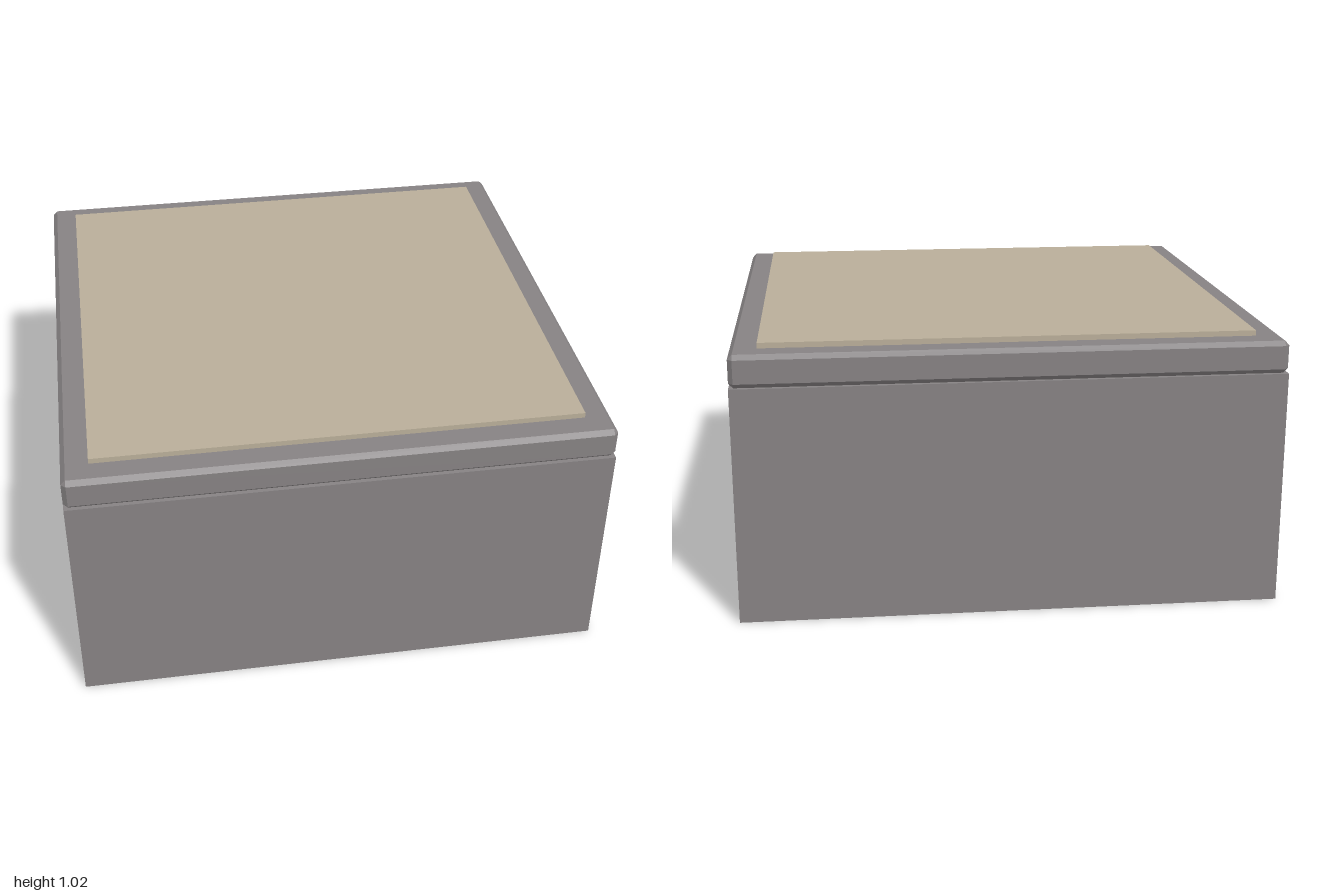
import * as THREE from 'three';
import { ConvexGeometry } from 'three/addons/geometries/ConvexGeometry.js';

// Box with every edge and corner cut by a flat chamfer
function chamferedBox(w, h, d, c) {
  const half = [w / 2, h / 2, d / 2];
  const points = [];
  for (const sx of [-1, 1]) for (const sy of [-1, 1]) for (const sz of [-1, 1]) {
    for (let outer = 0; outer < 3; outer++) {
      const [x, y, z] = half.map((v, axis) => (axis === outer ? v : v - c));
      points.push(new THREE.Vector3(sx * x, sy * y, sz * z));
    }
  }
  return new ConvexGeometry(points);
}

export function createModel() {
  const grey = new THREE.MeshStandardMaterial({ name: 'warm grey', color: 0x868283 });
  const beige = new THREE.MeshStandardMaterial({ name: 'beige', color: 0xb9ae99 });
  const model = new THREE.Group();
  model.name = 'squareBlock';

  const add = (name, geometry, material, y) => {
    const mesh = new THREE.Mesh(geometry, material);
    mesh.name = name;
    mesh.position.y = y;
    model.add(mesh);
  };

  // Plain base block
  add('base', new THREE.BoxGeometry(2, 0.88, 2), grey, 0.44);
  // Bevelled slab on top
  add('lid', chamferedBox(2, 0.12, 2, 0.017), grey, 0.94);
  // Inset-sized top panel, slightly raised
  add('topPanel', new THREE.BoxGeometry(1.8, 0.02, 1.8), beige, 1.01);

  return model;
}
